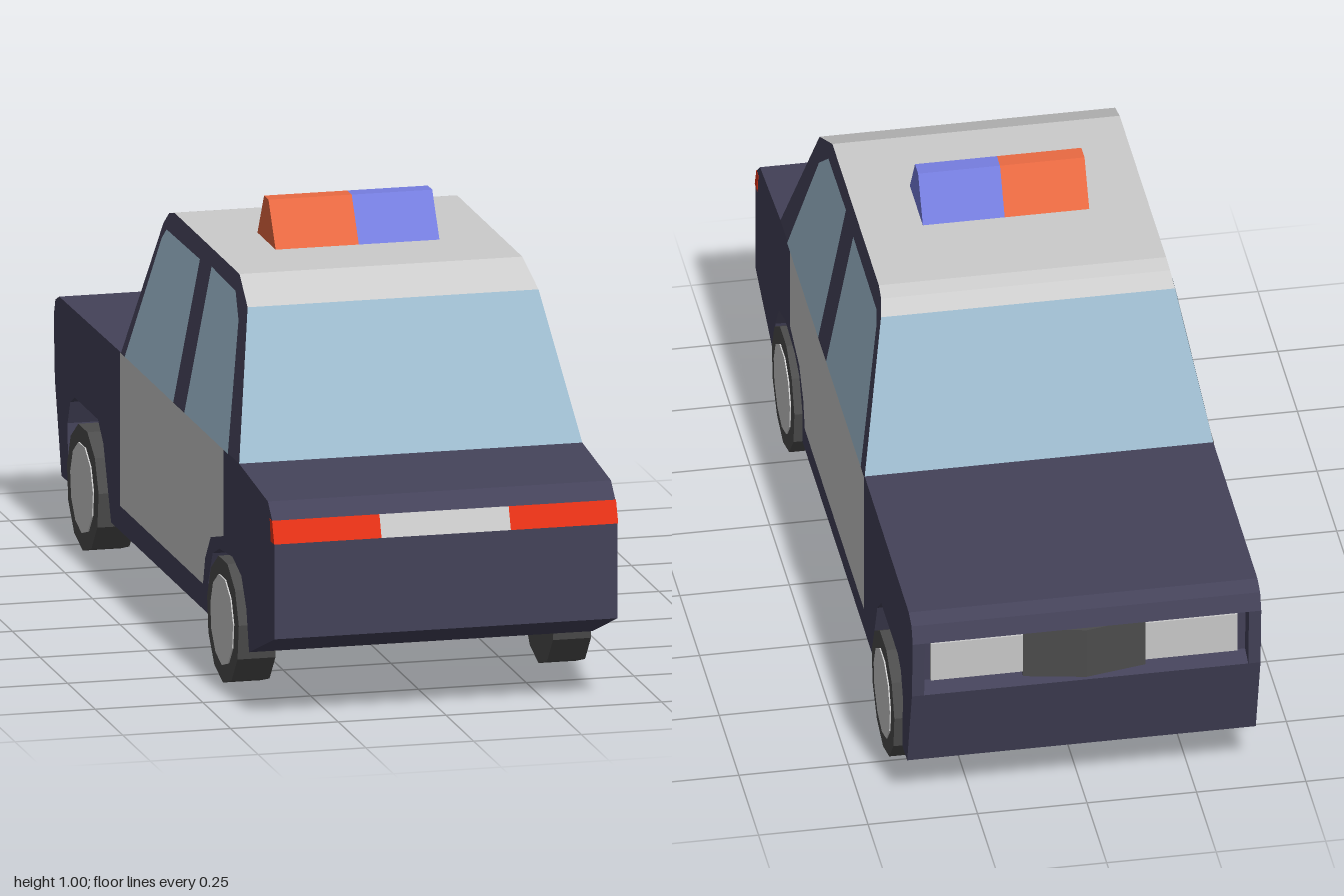
import * as THREE from 'three';

const NAVY = 0x444259, GREY = 0xcccccc, GLASS = 0x9fbdd0, RED = 0xe83216;
const ORANGE = 0xea6a42, BLUE = 0x767ee0, TYRE = 0x4c4c4c;

const material = (color, side = THREE.FrontSide) =>
  new THREE.MeshStandardMaterial({ color, flatShading: true, side });

export function createModel() {
  const car = new THREE.Group();
  car.name = 'patrolCar';

  const add = (name, geometry, color, side) => {
    const mesh = new THREE.Mesh(geometry, material(color, side));
    mesh.name = name;
    car.add(mesh);
    return mesh;
  };

  // Solid with a (z, y) outline, running from x0 to x1
  const solid = (name, outline, x0, x1, color) => {
    const shape = new THREE.Shape(outline.map(([z, y]) => new THREE.Vector2(z, y)));
    const g = new THREE.ExtrudeGeometry(shape, { depth: x1 - x0, bevelEnabled: false });
    g.rotateY(-Math.PI / 2).translate(x1, 0, 0);
    return add(name, g, color);
  };

  // Thin panel on one flank: (z, y) outline, x given by height
  const sidePanel = (name, outline, xAt, color) => {
    const pts = outline.map(([z, y]) => new THREE.Vector2(z, y));
    const g = new THREE.BufferGeometry();
    g.setAttribute('position', new THREE.Float32BufferAttribute(outline.flatMap(([z, y]) => [xAt(y), y, z]), 3));
    g.setIndex(THREE.ShapeUtils.triangulateShape(pts, []).flat());
    g.computeVertexNormals();
    add(name, g, color, THREE.DoubleSide);
  };

  // Thin strip across the car between two (z, y, halfWidth) edges
  const strip = (name, [za, ya, wa], [zb, yb, wb], color) => {
    const g = new THREE.BufferGeometry();
    g.setAttribute('position', new THREE.Float32BufferAttribute(
      [-wa, ya, za, wa, ya, za, wb, yb, zb, -wb, yb, zb], 3));
    g.setIndex([0, 1, 2, 0, 2, 3]);
    g.computeVertexNormals();
    add(name, g, color, THREE.DoubleSide);
  };

  // Lower body: layered slabs, with wheel arches outside and a recessed lamp band inside
  const tail = [[0.77, 0.115], [1, 0.2], [1, 0.42], [0.98, 0.47], [0.94, 0.505], [0.68, 0.53], [-0.39, 0.53], [-0.95, 0.525], [-0.985, 0.51], [-1, 0.47]];
  const recess = [[-0.955, 0.465], [-0.95, 0.34]];
  const chin = [[-0.99, 0.325], [-0.93, 0.115]];
  const arches = [
    [-0.87, 0.115], [-0.875, 0.25], [-0.85, 0.305], [-0.81, 0.325], [-0.6, 0.325], [-0.55, 0.28], [-0.48, 0.115],
    [0.4, 0.115], [0.4, 0.19], [0.44, 0.265], [0.5, 0.29], [0.62, 0.3], [0.7, 0.275], [0.745, 0.21]];
  solid('bodyCore', [...tail, ...recess, ...chin], -0.3, 0.3, NAVY);
  for (const [label, s] of [['left', 1], ['right', -1]]) {
    const slab = (name, outline, a, b) =>
      solid(label + name, outline, Math.min(s * a, s * b), Math.max(s * a, s * b), NAVY);
    slab('InnerFender', [...tail, ...recess, ...chin, ...arches], 0.3, 0.37);
    slab('OuterFender', [...tail, ...chin, ...arches], 0.37, 0.398);
  }

  // Cabin shell: sides lean inwards towards the roof
  const halfWidth = y => 0.398 - 0.07 * (y - 0.53) / 0.37;
  const cabin = [[0.68, 0.53], [0.52, 0.85], [0.41, 0.9], [-0.18, 0.9], [-0.22, 0.89], [-0.25, 0.86], [-0.39, 0.53]]
    .map(([z, y]) => [z, y, halfWidth(y)]);
  const stripNames = ['rearWindow', 'roofRear', 'roof', 'roofFront', 'roofFrontLip', 'windscreen'];
  stripNames.forEach((name, i) =>
    strip(name, cabin[i], cabin[i + 1], name.startsWith('roof') ? GREY : GLASS));

  // Flanks: pillars, windows and doors
  const rearGlass = [[0.585, 0.53], [0.475, 0.81], [0.41, 0.862], [0.19, 0.865], [0.19, 0.53]];
  const frontGlass = [[0.09, 0.53], [0.09, 0.858], [-0.21, 0.855], [-0.235, 0.83], [-0.35, 0.53]];
  const doors = [[0.545, 0.53], [0.545, 0.33], [0.43, 0.3], [0.38, 0.24], [0.36, 0.175], [-0.39, 0.175], [-0.39, 0.53]];
  for (const [label, s] of [['left', 1], ['right', -1]]) {
    const onCabin = y => s * (halfWidth(y) + 0.002);
    sidePanel(label + 'Pillars', cabin, y => s * halfWidth(y), NAVY);
    sidePanel(label + 'RearSideWindow', rearGlass, onCabin, GLASS);
    sidePanel(label + 'FrontSideWindow', frontGlass, onCabin, GLASS);
    sidePanel(label + 'Doors', doors, () => s * 0.4, GREY);
  }

  // Light strip across the +z end
  const lamp = [[0.97, 0.42], [1.002, 0.42], [0.982, 0.47], [0.96, 0.47]];
  solid('rightTailLight', lamp, -0.399, -0.15, RED);
  solid('tailCentrePanel', lamp, -0.15, 0.15, GREY);
  solid('leftTailLight', lamp, 0.15, 0.399, RED);

  // Headlights and wedge grille in the recess at the -z end
  const headlight = [[-0.94, 0.345], [-0.963, 0.345], [-0.967, 0.445], [-0.94, 0.445]];
  solid('leftHeadlight', headlight, 0.135, 0.35, GREY);
  solid('rightHeadlight', headlight, -0.35, -0.135, GREY);
  const wedge = new THREE.Shape([[-0.14, 0.94], [0.14, 0.94], [0.14, 0.967], [0, 0.995], [-0.14, 0.967]]
    .map(([x, z]) => new THREE.Vector2(x, z)));
  const grille = new THREE.ExtrudeGeometry(wedge, { depth: 0.125, bevelEnabled: false });
  grille.rotateX(-Math.PI / 2).translate(0, 0.335, 0);
  add('grille', grille, TYRE);

  // Roof light bar
  const bar = [[0.21, 0.9], [0.145, 1], [0.105, 1], [0.045, 0.9]];
  solid('rightBeacon', bar, -0.193, 0, ORANGE);
  solid('leftBeacon', bar, 0, 0.187, BLUE);

  // Wheels
  const disc = (radius, width) =>
    new THREE.CylinderGeometry(radius, radius, width, 11).rotateZ(Math.PI / 2).rotateX(Math.PI / 2);
  for (const [end, z] of [['Rear', 0.58], ['Front', -0.69]]) {
    for (const [label, s] of [['left', 1], ['right', -1]]) {
      add(label + end + 'Tyre', disc(0.145, 0.088), TYRE).position.set(s * 0.366, 0.145, z);
      add(label + end + 'Hub', disc(0.104, 0.09), GREY).position.set(s * 0.368, 0.145, z);
    }
  }
  return car;
}
